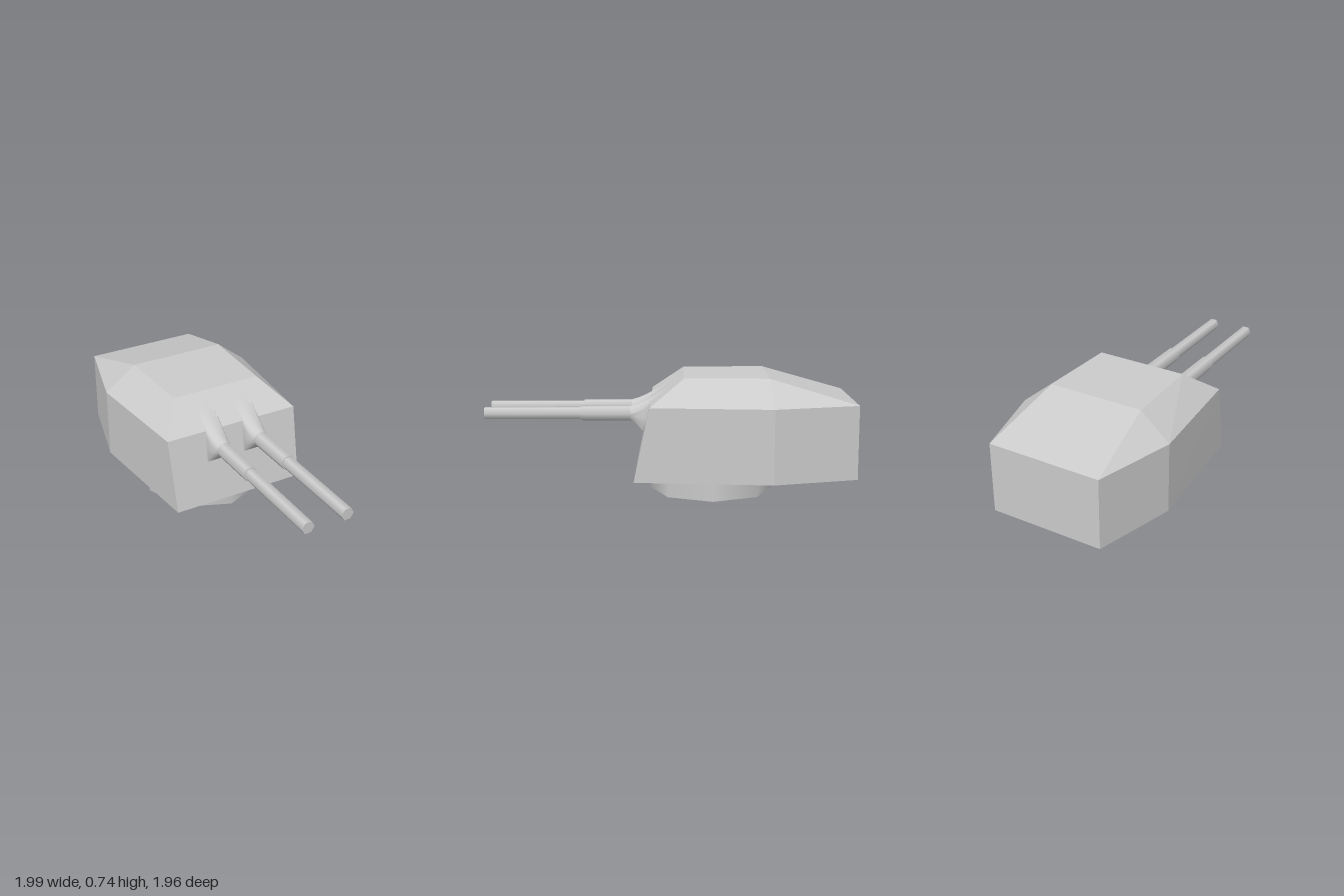
import * as THREE from 'three';
import { ConvexGeometry } from 'three/addons/geometries/ConvexGeometry.js';

const material = new THREE.MeshStandardMaterial({ color: 0xcccccc, side: THREE.DoubleSide });

function addMesh(parent, name, geometry) {
  const mesh = new THREE.Mesh(geometry, material);
  mesh.name = name;
  parent.add(mesh);
  return mesh;
}

// Faceted armoured house: mirrored corners given as [half width, y, z]
function hullGeometry() {
  const corners = [
    [0.364, 0.13, -1.035], [0.502, 0.13, -0.52], [0.428, 0.13, 0.308], // floor
    [0.364, 0.58, -1.035], [0.502, 0.58, -0.52], [0.438, 0.58, 0.212], // shoulder
    [0.307, 0.735, -0.505], [0.29, 0.735, 0.007], // roof
  ];
  const points = corners.flatMap(([x, y, z]) =>
    [new THREE.Vector3(x, y, z), new THREE.Vector3(-x, y, z)]);
  return new ConvexGeometry(points);
}

// Depth of the sloped front armour at a given height
function frontDepth(y) {
  return y > 0.58
    ? 0.212 - (y - 0.58) * (0.205 / 0.155)
    : 0.212 + (0.58 - y) * (0.096 / 0.45);
}

// Gun shroud: lofted from a slot wrapped over the front armour to a round collar
function shroudGeometry() {
  const sides = 16, steps = 6, positions = [], indices = [];
  for (let i = 0; i <= steps; i++) {
    const t = i / steps, ease = 1 - (1 - t) ** 1.35;
    for (let j = 0; j <= sides; j++) {
      const a = (j / sides) * Math.PI * 2, c = Math.cos(a), s = Math.sin(a);
      const square = 1 / Math.max(Math.abs(c), Math.abs(s));
      const slotY = 0.55 + 0.16 * s * square;
      const slotX = (0.06 - 0.008 * s) * c * square;
      positions.push(
        THREE.MathUtils.lerp(slotX, 0.048 * c, t * t),
        THREE.MathUtils.lerp(slotY, 0.5 + 0.046 * s, ease),
        THREE.MathUtils.lerp(frontDepth(slotY), 0.335, t));
      if (i < steps && j < sides) {
        const k = i * (sides + 1) + j, n = k + sides + 1;
        indices.push(k, k + 1, n, k + 1, n + 1, n);
      }
    }
  }
  const geometry = new THREE.BufferGeometry();
  geometry.setAttribute('position', new THREE.Float32BufferAttribute(positions, 3));
  geometry.setIndex(indices);
  geometry.computeVertexNormals();
  return geometry;
}

// Six-sided tube along z with flats on top and bottom
function tubeGeometry(rearRadius, frontRadius, z0, z1) {
  return new THREE.CylinderGeometry(frontRadius, rearRadius, z1 - z0, 6, 1, false, Math.PI / 6)
    .rotateX(Math.PI / 2)
    .translate(0, 0.5, (z0 + z1) / 2);
}

export function createModel() {
  const model = new THREE.Group();
  model.name = 'gunTurret';

  // The whole turret is trained to its left
  const turret = new THREE.Group();
  turret.name = 'turret';
  turret.rotation.y = THREE.MathUtils.degToRad(45.8);
  model.add(turret);

  addMesh(turret, 'hull', hullGeometry());

  // Hollow mounting ring below the floor
  const ring = addMesh(turret, 'mountingRing',
    new THREE.CylinderGeometry(0.385, 0.385, 0.135, 8, 1, true));
  ring.position.set(-0.005, 0.0675, -0.166);

  // Twin guns
  for (const side of [-1, 1]) {
    const gun = new THREE.Group();
    gun.name = side > 0 ? 'leftGun' : 'rightGun';
    gun.position.x = side * 0.127;
    turret.add(gun);
    addMesh(gun, 'shroud', shroudGeometry());
    addMesh(gun, 'sleeve', tubeGeometry(0.05, 0.048, 0.3, 0.64));
    addMesh(gun, 'barrel', tubeGeometry(0.041, 0.04, 0.6, 1.23));
  }
  return model;
}
